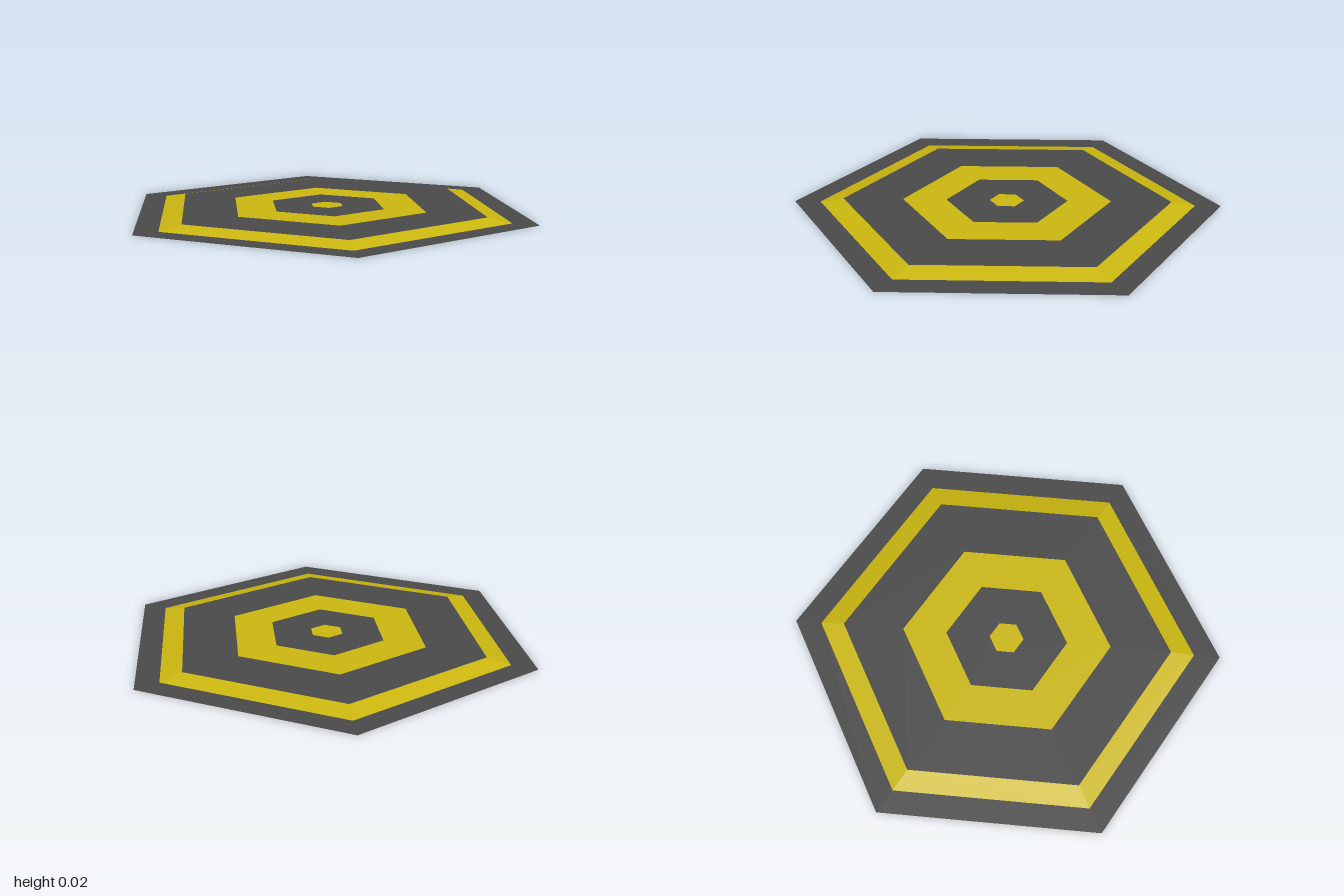
import * as THREE from 'three';

// Thin six-sided sheet made of concentric bands, raised slightly inside the sloping stripe
export function createModel() {
  const group = new THREE.Group();
  group.name = 'hexagonalPad';

  const grey = new THREE.MeshStandardMaterial({ color: 0x4b4b4b, side: THREE.DoubleSide });
  grey.name = 'dark grey';
  const yellow = new THREE.MeshStandardMaterial({ color: 0xcdb910, side: THREE.DoubleSide });
  yellow.name = 'yellow';

  const top = 0.018;

  // One hexagonal band from an outer to an inner radius, corners on the z axis
  function band(name, material, outer, outerY, inner, innerY) {
    const profile = [new THREE.Vector2(outer, outerY), new THREE.Vector2(inner, innerY)];
    const geometry = new THREE.LatheGeometry(profile, 6).toNonIndexed();
    geometry.computeVertexNormals();
    const mesh = new THREE.Mesh(geometry, material);
    mesh.name = name;
    group.add(mesh);
  }

  band('outerRim', grey, 1, 0, 0.88, 0);
  band('slopedStripe', yellow, 0.88, 0, 0.77, top);
  band('wideBand', grey, 0.77, top, 0.488, top);
  band('middleStripe', yellow, 0.488, top, 0.284, top);
  band('innerBand', grey, 0.284, top, 0.08, top);

  // Solid centre hexagon
  const centre = new THREE.Mesh(new THREE.CircleGeometry(0.08, 6, Math.PI / 2), yellow);
  centre.name = 'centreHexagon';
  centre.rotation.x = -Math.PI / 2;
  centre.position.y = top;
  group.add(centre);

  return group;
}
